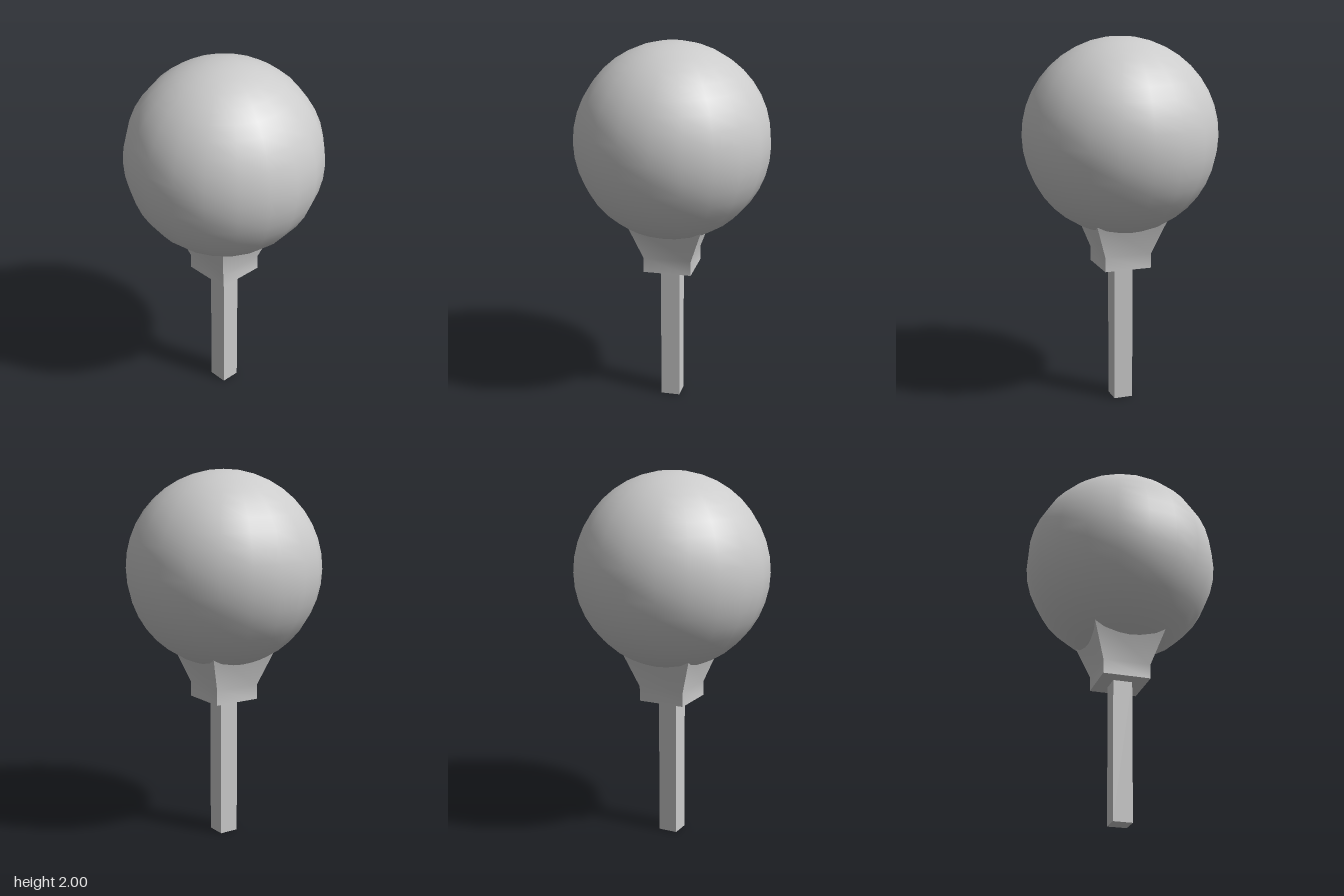
import * as THREE from 'three';
import { toCreasedNormals } from 'three/addons/utils/BufferGeometryUtils.js';

export function createModel() {
  const group = new THREE.Group();
  const material = new THREE.MeshStandardMaterial({ color: 0xcccccc });

  function addPart(name, geometry, y) {
    const mesh = new THREE.Mesh(geometry, material);
    mesh.name = name;
    mesh.position.y = y;
    group.add(mesh);
  }

  // Square post
  const postHeight = 0.78;
  addPart('post', new THREE.BoxGeometry(0.105, postHeight, 0.105), postHeight / 2);

  // Square collar flaring up into the globe: [half width, height]
  const profile = [[0, 0.765], [0.13, 0.765], [0.13, 0.845], [0.205, 1.06], [0, 1.06]]
    .map(([half, y]) => new THREE.Vector2(half * Math.SQRT2, y));
  const collar = new THREE.LatheGeometry(profile, 4, Math.PI / 4);
  addPart('collar', toCreasedNormals(collar, Math.PI / 5), 0);

  // Globe
  const radius = 0.525;
  addPart('globe', new THREE.SphereGeometry(radius, 20, 20), 2 - radius);

  return group;
}
